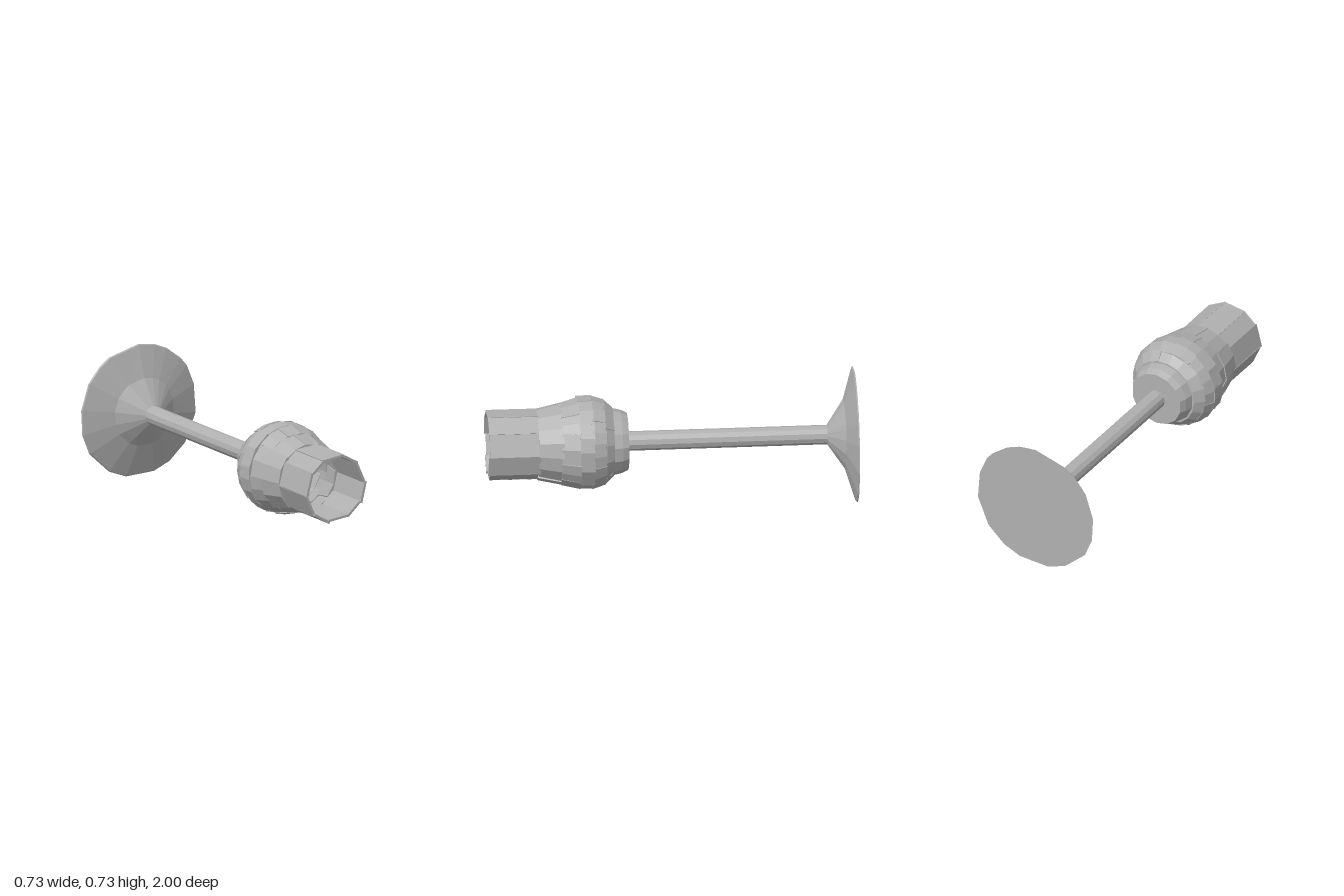
import * as THREE from 'three';

const CY = 0.366; // height of the long axis

export function createModel() {
  const group = new THREE.Group();
  const grey = new THREE.MeshStandardMaterial({ color: 0xb0b0b0, flatShading: true });
  grey.name = 'grey';

  let seed = 7;
  const rand = () => ((seed = (seed * 16807) % 2147483647) / 2147483647);
  const jitter = (s) => (rand() - 0.5) * 2 * s;

  const add = (name, geometry, parent = group) => {
    const mesh = new THREE.Mesh(geometry, grey);
    mesh.name = name;
    parent.add(mesh);
    return mesh;
  };

  // Solid of revolution along +z from [radius, z] pairs
  const turned = (profile, sides) => {
    const g = new THREE.LatheGeometry(profile.map(([r, z]) => new THREE.Vector2(r, z)), sides);
    return g.rotateX(Math.PI / 2).translate(0, CY, 0);
  };

  // Foot: hand-cut irregular disc rising in two cones to the stem
  const rim = [
    [0.367, -0.066], [0.355, 0.094], [0.31, 0.204], [0.27, 0.251], [0.18, 0.319], [0.1, 0.352],
    [0, 0.366], [-0.19, 0.316], [-0.25, 0.272], [-0.32, 0.189], [-0.367, 0.044], [-0.36, -0.096],
    [-0.315, -0.206], [-0.19, -0.321], [-0.08, -0.364], [0.1, -0.358], [0.2, -0.316], [0.3, -0.226],
  ];
  const n = rim.length;
  const position = [];
  const index = [];
  const rings = [[0, -1], [0.36, -0.994], [0.19, -0.94], [0.05, -0.845]];
  rings.forEach(([r, z], i) => rim.forEach(([x, y]) => {
    const s = i < 2 ? (i ? 0.985 : 1) : r / Math.hypot(x, y);
    position.push(x * s, y * s + CY, z);
  }));
  position.push(0, CY, -1);
  for (let j = 0; j < n; j++) {
    const k = (j + 1) % n;
    for (let i = 0; i < rings.length - 1; i++) {
      const a = i * n + j, b = i * n + k;
      index.push(a, b, b + n, a, b + n, a + n);
    }
    index.push(rings.length * n, k, j);
  }
  const foot = new THREE.BufferGeometry();
  foot.setAttribute('position', new THREE.Float32BufferAttribute(position, 3));
  foot.setIndex(index);
  foot.computeVertexNormals();
  add('foot', foot);

  // Stem
  add('stem', turned([[0, -0.86], [0.053, -0.86], [0.053, 0.25], [0, 0.25]], 12));

  // Bowl bottom: solid disc that carries the shell
  add('bowlBottom', turned([[0, 0.235], [0.155, 0.235], [0.172, 0.27], [0.185, 0.33],
    [0.16, 0.33], [0.155, 0.27], [0, 0.27]], 14));

  // One shard of the shell: a box bent around the axis, tapered from z0 to z1
  const shard = (a0, a1, z0, z1, r0, r1, thick, bends) => {
    const g = new THREE.BoxGeometry(1, 1, 1, bends, 1, 1);
    const p = g.attributes.position;
    for (let i = 0; i < p.count; i++) {
      const a = a1 + (a0 - a1) * (p.getX(i) + 0.5);
      const t = p.getZ(i) + 0.5;
      const r = r0 + (r1 - r0) * t - (p.getY(i) < 0 ? thick : 0);
      p.setXYZ(i, r * Math.cos(a), CY + r * Math.sin(a), z0 + (z1 - z0) * t);
    }
    g.computeVertexNormals();
    return g;
  };

  // Rows of shards: name, count, z0, z1, r0, r1, thickness, bends, jitter
  const rows = [
    ['lowerBowlShard', 9, 0.315, 0.365, 0.188, 0.232, 0.025, 2, 0.004],
    ['bulgeShard', 11, 0.36, 0.43, 0.23, 0.254, 0.03, 2, 0.004],
    ['bulgeShard', 9, 0.425, 0.505, 0.254, 0.25, 0.035, 2, 0.004],
    ['shoulderShard', 10, 0.5, 0.6, 0.249, 0.222, 0.035, 2, 0.005],
    ['neckShard', 8, 0.59, 0.725, 0.224, 0.193, 0.025, 2, 0.005],
    ['rimStave', 10, 0.715, 0.995, 0.193, 0.193, 0.014, 1, 0.004],
  ];
  const shell = new THREE.Group();
  shell.name = 'bowlShell';
  group.add(shell);
  rows.forEach(([name, count, z0, z1, r0, r1, thick, bends, j], row) => {
    const step = (Math.PI * 2) / count;
    const cuts = Array.from({ length: count }, (_, i) => row * 0.4 + i * step + jitter(step * 0.14));
    cuts.push(cuts[0] + Math.PI * 2);
    for (let i = 0; i < count; i++) {
      const d = jitter(j);
      add(name, shard(cuts[i] - 0.015, cuts[i + 1] + 0.015, z0, z1 + jitter(0.005),
        r0 + d, r1 + d + jitter(j * 0.5), thick, bends), shell);
    }
  });

  return group;
}
